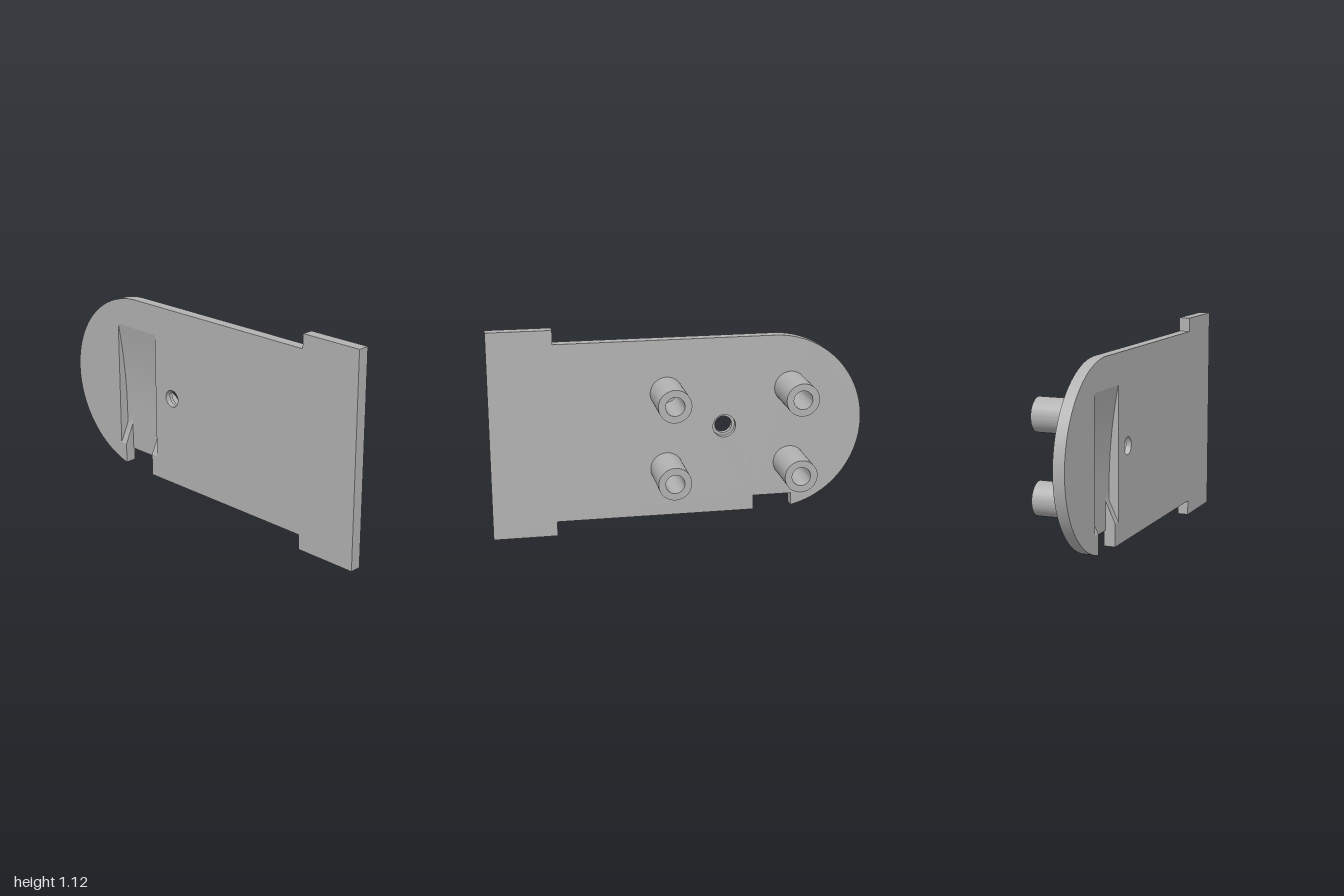
import * as THREE from 'three';
import { toCreasedNormals } from 'three/addons/utils/BufferGeometryUtils.js';

const BACK = 0.10, FRONT = 0.16;

export function createModel() {
  const model = new THREE.Group();
  const grey = new THREE.MeshStandardMaterial({ color: 0xb2b2b2 });
  grey.name = 'plain grey';

  const add = (name, geometry) => {
    const mesh = new THREE.Mesh(toCreasedNormals(geometry, 0.5), grey);
    mesh.name = name;
    model.add(mesh);
    return mesh;
  };
  const extrude = (shape, depth) =>
    new THREE.ExtrudeGeometry(shape, { depth, bevelEnabled: false, curveSegments: 48 });
  const ring = (outer, inner) => {
    const shape = new THREE.Shape().absarc(0, 0, outer, 0, Math.PI * 2);
    shape.holes.push(new THREE.Path().absarc(0, 0, inner, 0, Math.PI * 2, true));
    return shape;
  };

  // Plate: rounded at one end, wider at the other, open where the pocket sits
  const cx = -0.515, cy = 0.565, r = 0.485;
  const notchAngle = Math.PI + Math.acos((cx + 0.62) / r);
  const plate = new THREE.Shape();
  plate.moveTo(-0.41, 0.08);
  [[0.66, 0.08], [0.66, 0], [1, 0], [1, 1.125], [0.66, 1.125], [0.66, 1.05], [cx, 1.05]]
    .forEach(([x, y]) => plate.lineTo(x, y));
  plate.absarc(cx, cy, r, Math.PI / 2, notchAngle);
  [[-0.62, 0.2], [-0.66, 0.2], [-0.66, 0.89], [-0.37, 0.89], [-0.37, 0.2], [-0.41, 0.2]]
    .forEach(([x, y]) => plate.lineTo(x, y));
  plate.closePath();
  plate.holes.push(new THREE.Path().absarc(-0.245, 0.565, 0.062, 0, Math.PI * 2, true));
  add('plate', extrude(plate, FRONT - BACK).translate(0, 0, BACK));

  // Narrower front lip of the stepped hole
  add('holeLip', extrude(ring(0.062, 0.046), 0.03).translate(-0.245, 0.565, FRONT - 0.03));

  // Pocket floor: side profile of height and depth, swept across x
  const curve = [];
  for (let i = 0; i <= 16; i++) {
    const t = i / 16;
    curve.push([0.36 + 0.53 * t, 0.05 * (1 - t * t)]);
  }
  const strip = (name, x0, x1, start) => {
    const points = [...start, ...curve].map(([y, d]) => new THREE.Vector2(d - FRONT, y));
    points.push(new THREE.Vector2(-BACK, 0.89), new THREE.Vector2(-BACK, start[0][0]));
    add(name, extrude(new THREE.Shape(points), x1 - x0).rotateY(Math.PI / 2).translate(x0, 0, 0));
  };
  strip('pocketFloor', -0.62, -0.41, [[0.16, 0.053]]);
  // Side strips end in ramps that rise back to the front face
  const ramp = [[0.2, 0], [0.31, 0.051]];
  strip('rightPocketRamp', -0.66, -0.62, ramp);
  strip('leftPocketRamp', -0.41, -0.37, ramp);

  // Four hollow standoffs on the back
  for (const x of [-0.605, 0.067]) {
    for (const y of [0.345, 0.762]) {
      add('standoff', extrude(ring(0.0875, 0.05), 0.26)).position.set(x, y, -0.16);
    }
  }
  return model;
}
